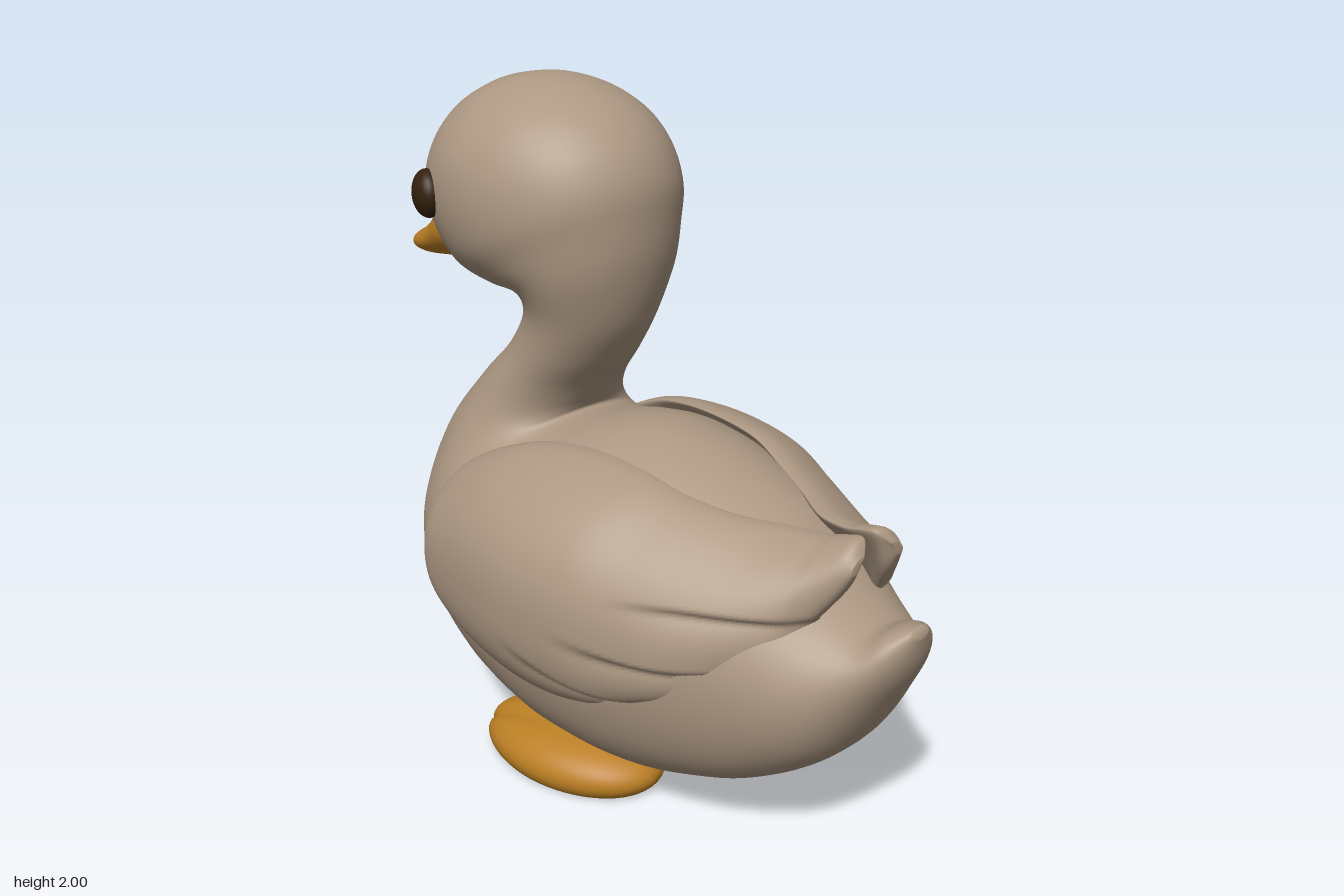
import * as THREE from 'three';
import { mergeVertices } from 'three/addons/utils/BufferGeometryUtils.js';

const plumage = new THREE.MeshStandardMaterial({ name: 'plumage', color: 0xad9883 });
const orange = new THREE.MeshStandardMaterial({ name: 'orange', color: 0xbb7f24 });
const darkBrown = new THREE.MeshStandardMaterial({ name: 'darkBrown', color: 0x34210d });

// Smoothly interpolate rows of numbers (Catmull-Rom), n steps per span
function smoothRows(rows, n) {
  const out = [], last = rows.length - 1;
  const row = (i) => rows[Math.min(last, Math.max(0, i))];
  for (let k = 0; k <= last * n; k++) {
    const i = Math.min(last - 1, Math.floor(k / n)), t = k / n - i;
    const [p, a, b, q] = [row(i - 1), row(i), row(i + 1), row(i + 2)];
    out.push(a.map((v, c) => v + 0.5 * t * (b[c] - p[c] + t * (2 * p[c] - 5 * v + 4 * b[c] - q[c]
      + t * (3 * (v - b[c]) + q[c] - p[c])))));
  }
  return out;
}

// Closed skin over rings; point(row, angle) gives [x, y, z]
function loft(rows, point, steps = 6, sides = 48) {
  const rings = smoothRows(rows, steps), pos = [], idx = [];
  for (const r of rings) for (let j = 0; j < sides; j++) pos.push(...point(r, (j / sides) * Math.PI * 2));
  const count = rings.length;
  for (let i = 0; i < count - 1; i++) for (let j = 0; j < sides; j++) {
    const k = (j + 1) % sides, a = i * sides + j, b = i * sides + k;
    idx.push(a, b, a + sides, b, b + sides, a + sides);
  }
  // end caps
  [0, count - 1].forEach((i, end) => {
    const c = pos.length / 3, mid = [0, 0, 0];
    for (let j = 0; j < sides; j++) for (let d = 0; d < 3; d++) mid[d] += pos[(i * sides + j) * 3 + d] / sides;
    pos.push(...mid);
    for (let j = 0; j < sides; j++) {
      const a = i * sides + j, b = i * sides + (j + 1) % sides;
      if (end) idx.push(c, a, b); else idx.push(c, b, a);
    }
  });
  // turn the skin outward when its signed volume is negative
  const v = (i) => new THREE.Vector3().fromArray(pos, i * 3);
  let volume = 0;
  for (let i = 0; i < idx.length; i += 3) volume += v(idx[i]).dot(v(idx[i + 1]).cross(v(idx[i + 2])));
  if (volume < 0) idx.reverse();
  const g = new THREE.BufferGeometry();
  g.setAttribute('position', new THREE.Float32BufferAttribute(pos, 3));
  g.setIndex(idx);
  g.computeVertexNormals();
  return g;
}

// Ellipse spanning two outline points [ax, ay, bx, by] with half-width w;
// a power below 1 makes the half toward the first point fuller
const oval = ([ax, ay, bx, by, w, power], t) => {
  const c = Math.cos(t) / 2, s = Math.sin(t);
  const side = Math.sign(s) * Math.abs(s) ** (c > 0 ? power : 1);
  return [(ax + bx) / 2 + (ax - bx) * c, (ay + by) / 2 + (ay - by) * c, w * side];
};

// Tail to neck: belly/chest point, back point, half-width, belly power
const BODY = [
  [0.992, 0.765, 0.975, 0.79, 0.03, 1], [0.972, 0.67, 0.925, 0.775, 0.1, 1], [0.92, 0.56, 0.855, 0.75, 0.16, 0.95],
  [0.79, 0.35, 0.75, 0.80, 0.26, 0.8], [0.6, 0.21, 0.6, 0.92, 0.34, 0.7], [0.4, 0.13, 0.42, 1.0, 0.40, 0.66],
  [0.2, 0.08, 0.22, 1.06, 0.44, 0.65], [0, 0.07, 0.05, 1.08, 0.465, 0.65], [-0.2, 0.08, -0.08, 1.065, 0.47, 0.68],
  [-0.45, 0.14, -0.18, 1.04, 0.46, 0.8], [-0.68, 0.28, -0.24, 1.03, 0.43, 0.9], [-0.82, 0.47, -0.255, 1.035, 0.38, 1],
  [-0.845, 0.68, -0.25, 1.05, 0.32, 1], [-0.77, 0.91, -0.235, 1.075, 0.265, 1], [-0.62, 1.1, -0.2, 1.13, 0.225, 1],
  [-0.5, 1.22, -0.13, 1.22, 0.205, 1], [-0.425, 1.33, -0.06, 1.34, 0.207, 1],
];
// Head, fanning from the chin up to the brow
const HEAD = [
  [-0.42, 1.38, -0.013, 1.5, 0.243, 1], [-0.53, 1.378, 0, 1.636, 0.285, 1], [-0.66, 1.415, -0.006, 1.744, 0.33, 1],
  [-0.755, 1.52, -0.054, 1.845, 0.345, 1], [-0.796, 1.636, -0.143, 1.927, 0.324, 1], [-0.794, 1.744, -0.263, 1.981, 0.26, 1],
  [-0.746, 1.845, -0.4, 2.0, 0.17, 1], [-0.668, 1.92, -0.524, 1.985, 0.071, 1], [-0.618, 1.95, -0.582, 1.966, 0.018, 1],
];

const BILL = [
  [-0.988, 1.41, -0.994, 1.445, 0.055, 1], [-0.965, 1.393, -0.972, 1.468, 0.108, 1], [-0.9, 1.388, -0.92, 1.492, 0.138, 1],
  [-0.82, 1.395, -0.86, 1.54, 0.148, 1], [-0.72, 1.405, -0.79, 1.61, 0.165, 1], [-0.6, 1.43, -0.66, 1.62, 0.16, 1],
];

// Wing: x, lower edge y, upper edge y, greatest z, half thickness, inward lean of the upper edge
const WING = [
  [-0.49, 0.67, 0.73, 0.42, 0.01, 0], [-0.47, 0.57, 0.83, 0.47, 0.05, 0.04], [-0.4, 0.48, 0.92, 0.515, 0.08, 0.06],
  [-0.2, 0.38, 1.01, 0.55, 0.09, 0], [0, 0.345, 1.04, 0.56, 0.09, -0.02], [0.2, 0.385, 1.03, 0.535, 0.085, 0.01],
  [0.35, 0.45, 0.99, 0.485, 0.085, 0.07], [0.48, 0.505, 0.965, 0.425, 0.08, 0.11], [0.6, 0.585, 0.955, 0.35, 0.075, 0.13],
  [0.7, 0.655, 0.96, 0.265, 0.06, 0.1], [0.755, 0.76, 0.975, 0.2, 0.05, 0.06], [0.81, 0.85, 0.985, 0.15, 0.04, 0.03],
  [0.84, 0.91, 0.95, 0.12, 0.015, 0.02],
];
// Feather edges, as shallow parabolas: start x, lowest x, lowest y, curvature
const FEATHER_EDGES = [[0.3, 0.5, 0.785, 0], [0.14, 0.45, 0.61, 0.57], [-0.06, 0.36, 0.46, 0.72]];

// Wing ring hugging the rounded flank, stepped in just below each feather edge
const wingRing = (side) => ([x, lo, hi, reach, thick, lean], t) => {
  const y = (lo + hi) / 2 + ((hi - lo) / 2) * Math.cos(t), s = Math.sin(t);
  const shell = reach * Math.sqrt(Math.max(0.2, 1 - (Math.abs(y - 0.64) / 0.46) ** 2.6));
  let z = shell - thick * (1 - Math.sign(s) * Math.abs(s) ** 0.65) - lean * ((y - lo) / (hi - lo)) ** 3;
  for (const [start, cx, cy, k] of FEATHER_EDGES) {
    const below = cy + k * (x - cx) ** 2 - y;
    if (s > 0 && below > 0) {
      z -= 0.04 * THREE.MathUtils.smoothstep(x, start, start + 0.25)
        * THREE.MathUtils.smoothstep(below, 0, 0.022) * Math.exp(-below / 0.06);
    }
  }
  return [x, y, side * z];
};

// Flat-soled webbed foot with two grooves between the toes
function footGeometry(halfLength) {
  let g = new THREE.SphereGeometry(1, 56, 32);
  g.deleteAttribute('uv');
  g.deleteAttribute('normal');
  g = mergeVertices(g);
  const p = g.attributes.position;
  for (let i = 0; i < p.count; i++) {
    const x = p.getX(i), y = p.getY(i), z = p.getZ(i);
    const swell = Math.max(1e-4, Math.hypot(x, z)) ** -0.18;
    const groove = Math.exp(-(((Math.abs(z) - 0.33) / 0.09) ** 2)) * Math.max(0, -x);
    p.setXYZ(i, halfLength * x * swell * (1 - 0.06 * groove),
      Math.max(0, 0.05 + 0.098 * y * (1 - 0.25 * groove)), 0.197 * z * swell);
  }
  g.computeVertexNormals();
  return g;
}

export function createModel() {
  const model = new THREE.Group();
  model.name = 'waterBird';
  const add = (name, geometry, material) => {
    const mesh = new THREE.Mesh(geometry, material);
    mesh.name = name;
    model.add(mesh);
    return mesh;
  };

  add('bodyNeckAndHead', loft([...BODY, ...HEAD], oval, 6, 64), plumage);
  add('bill', loft(BILL, oval), orange);

  // dark rim where the bill meets the face
  const rim = [[-0.66, 1.49, 0.17], [-0.705, 1.545, 0.155], [-0.752, 1.59, 0.115], [-0.792, 1.618, 0],
    [-0.752, 1.59, -0.115], [-0.705, 1.545, -0.155], [-0.66, 1.49, -0.17]];
  const rimPath = new THREE.CatmullRomCurve3(rim.map((q) => new THREE.Vector3(...q)));
  add('billRim', new THREE.TubeGeometry(rimPath, 40, 0.018, 10), darkBrown);

  for (const side of [1, -1]) {
    // side +1 is the +z half
    const eye = add('eye', new THREE.SphereGeometry(1, 32, 20), darkBrown);
    eye.scale.set(0.068, 0.07, 0.045);
    eye.position.set(-0.587, 1.67, side * 0.308);
    eye.rotation.y = -side * 0.42;

    add('wing', loft(WING, wingRing(side), 10, 144), plumage);

    // the -z foot stands a little further forward
    const webbedFoot = add('foot', footGeometry(side > 0 ? 0.31 : 0.345), orange);
    webbedFoot.position.set(side > 0 ? -0.075 : -0.115, 0, side * 0.235);
    webbedFoot.rotation.y = side * 0.16;
  }
  return model;
}
